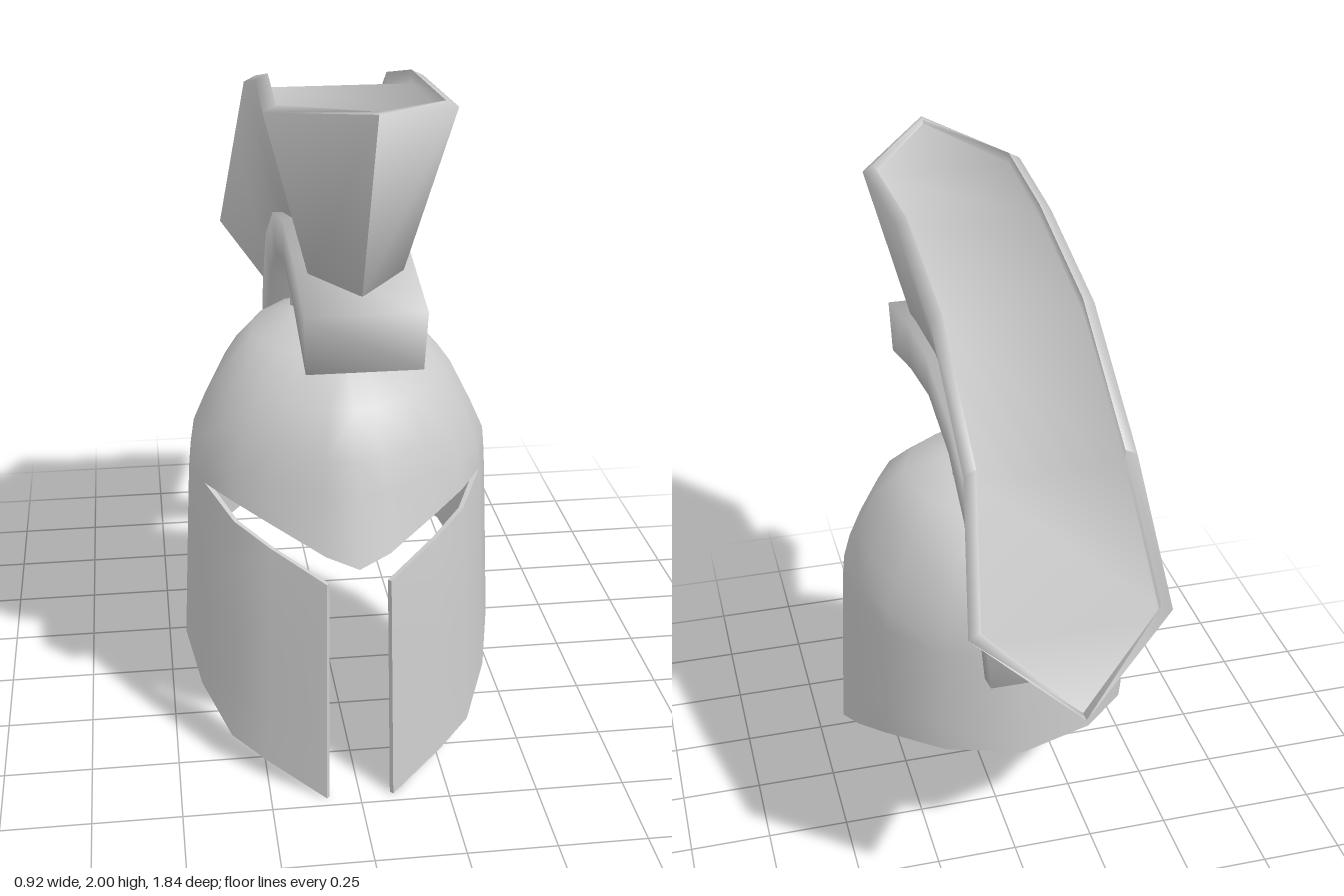
import * as THREE from 'three';
import { mergeVertices, toCreasedNormals } from 'three/addons/utils/BufferGeometryUtils.js';

const { lerp } = THREE.MathUtils;

// Helmet levels: height, half width, centre z, front z, back z
const LEVELS = [
  [0, 0.47, 0.2, 0.745, -0.34],
  [0.655, 0.44, 0.2, 0.69, -0.34],
  [0.815, 0.432, 0.2, 0.64, -0.337],
  [0.89, 0.425, 0.2, 0.617, -0.333],
  [0.98, 0.385, 0.2, 0.59, -0.32],
  [1.10, 0.325, 0.19, 0.53, -0.26],
  [1.195, 0.24, 0.16, 0.39, -0.15],
  [1.235, 0.13, 0.14, 0.27, -0.03],
  [1.25, 0, 0.14, 0.14, 0.14],
];
// Half-ring columns, back to front: unit x, unit z, rim y, eye slit lower y, eye slit upper y
const EYE = 0.815;
const COLUMNS = [
  [0, -1, 0.47, EYE, EYE],
  [0.5, -0.87, 0.47, EYE, EYE],
  [0.83, -0.57, 0.435, EYE, EYE],
  [0.96, -0.28, 0.36, EYE, EYE],
  [1, 0.03, 0.27, EYE, EYE],
  [0.91, 0.3, 0.175, EYE, EYE],
  [0.74, 0.58, 0.09, 0.758, 0.813],
  [0.53, 0.745, 0.055, 0.715, 0.782],
  [0.2, 0.955, 0, 0.655, 0.728],
  [0, 1, 0, 0, 0.70],
];

function helmetPoint(k, y) {
  let i = 0;
  while (i < LEVELS.length - 2 && y > LEVELS[i + 1][0]) i++;
  const lo = LEVELS[i], hi = LEVELS[i + 1];
  const t = (y - lo[0]) / (hi[0] - lo[0]);
  const [, w, c, f, b] = lo.map((v, n) => lerp(v, hi[n], t));
  const [ux, uz] = COLUMNS[k];
  return [w * ux, y, c + uz * (uz > 0 ? f - c : c - b)];
}

function fromTriangles(points, index) {
  const geo = new THREE.BufferGeometry();
  geo.setAttribute('position', new THREE.Float32BufferAttribute(points.flat(), 3));
  if (index) geo.setIndex(index);
  return geo;
}

// Give an open sheet of triangles an inner skin and closed edges
function thicken(points, thickness) {
  const geo = mergeVertices(fromTriangles(points), 1e-4);
  const idx = Array.from(geo.index.array), tris = [];
  for (let i = 0; i < idx.length; i += 3) {
    const t = idx.slice(i, i + 3);
    if (new Set(t).size === 3) tris.push(t);
  }
  geo.setIndex(tris.flat());
  geo.computeVertexNormals();
  const pos = geo.attributes.position, nor = geo.attributes.normal, n = pos.count;
  const outer = [], inner = [];
  for (let i = 0; i < n; i++) {
    const p = new THREE.Vector3().fromBufferAttribute(pos, i);
    const q = new THREE.Vector3().fromBufferAttribute(nor, i);
    outer.push(p.toArray());
    inner.push(p.addScaledVector(q, -thickness).toArray());
  }
  const edges = new Set();
  for (const t of tris) t.forEach((a, j) => edges.add(a + '_' + t[(j + 1) % 3]));
  const faces = [];
  for (const t of tris) {
    const [a, b, c] = t;
    faces.push(a, b, c, a + n, c + n, b + n);
    t.forEach((p, j) => {
      const q = t[(j + 1) % 3];
      if (!edges.has(q + '_' + p)) faces.push(q, p, p + n, q, p + n, q + n);
    });
  }
  return toCreasedNormals(fromTriangles([...outer, ...inner], faces), 0.9);
}

function helmetShell() {
  const tris = [];
  const flip = ([x, y, z]) => [-x, y, z];
  const panel = (columns, rows, yAt) => {
    for (let k = 0; k < columns; k++) {
      for (let r = 0; r < rows; r++) {
        const a = helmetPoint(k, yAt(k, r)), b = helmetPoint(k + 1, yAt(k + 1, r));
        const c = helmetPoint(k + 1, yAt(k + 1, r + 1)), d = helmetPoint(k, yAt(k, r + 1));
        tris.push(a, d, c, a, c, b);
        const [e, f, g, h] = [a, b, c, d].map(flip);
        tris.push(e, g, h, e, f, g);
      }
    }
  };
  // Neck guard and cheeks, up to the eye slit
  panel(8, 4, (k, r) => lerp(COLUMNS[k][2], COLUMNS[k][3], r / 4));
  // Brow and dome
  panel(9, 6, (k, r) => (r === 0 ? COLUMNS[k][4] : LEVELS[r + 2][0]));
  return thicken(tris, 0.014);
}

// Skin cross-sections that run front to back, each counter-clockwise seen from the front
function loft(sections, crease) {
  const n = sections[0].length, last = (sections.length - 1) * n, faces = [];
  for (let s = 0; s < last; s += n) {
    for (let j = 0; j < n; j++) {
      const a = s + j, b = s + (j + 1) % n;
      faces.push(a, a + n, b + n, a, b + n, b);
    }
  }
  for (let j = 1; j < n - 1; j++) faces.push(0, j, j + 1, last, last + j + 1, last + j);
  return toCreasedNormals(fromTriangles(sections.flat(), faces), crease);
}

const mirrored = (half) => [...half, ...half.map(([x, y, z]) => [-x, y, z]).reverse()];

// Curved holder, softly shaded: upper z, y, lower z, y
function holderGeometry() {
  const rail = [
    [0.76, 1.46, 0.74, 1.30], [0.48, 1.525, 0.46, 1.375], [0.21, 1.545, 0.20, 1.415],
    [-0.08, 1.475, -0.05, 1.36], [-0.33, 1.33, -0.23, 1.24], [-0.46, 1.13, -0.36, 1.06],
    [-0.55, 0.9, -0.46, 0.865],
  ];
  return loft(rail.map(([zt, yt, zb, yb]) => mirrored([[0.15, yb, zb], [0.155, yt, zt]])), 1.9);
}

// Plume with a raised rim: top z, y, half width, bottom z, y, half width, depth of the sunk top
function plumeGeometry() {
  const stations = [
    [0.92, 2.0, 0, 0.68, 1.48, 0, 0.012],
    [0.64, 1.945, 0.24, 0.56, 1.49, 0.12, 0.015],
    [0.24, 1.935, 0.224, 0.2, 1.52, 0.12, 0.02],
    [-0.18, 1.838, 0.224, -0.08, 1.45, 0.12, 0.02],
    [-0.56, 1.588, 0.228, -0.32, 1.3, 0.12, 0.02],
    [-0.77, 1.24, 0.27, -0.44, 1.1, 0.12, 0.015],
    [-0.915, 1.045, 0, -0.53, 0.97, 0, 0.012],
  ];
  return loft(stations.map(([z, y, w, zb, yb, wb, depth]) => {
    const tip = w === 0;
    const wi = tip ? 0 : w - 0.033;
    const zi = tip ? z - 0.03 * Math.sign(z) : z;
    const rise = tip ? 0 : 0.017;
    return mirrored([[wb, yb, zb], [w, y, z], [wi, y + rise, zi], [wi, y - depth, zi]]);
  }), 1.9);
}

export function createModel() {
  const metal = new THREE.MeshStandardMaterial({ color: 0xcccccc });
  metal.name = 'pale grey';
  const group = new THREE.Group();
  group.name = 'crestedHelmet';
  const add = (name, geometry) => {
    const mesh = new THREE.Mesh(geometry, metal);
    mesh.name = name;
    group.add(mesh);
    return mesh;
  };

  add('helmetShell', helmetShell());
  add('crestHolder', holderGeometry());
  add('crestPlume', plumeGeometry());

  // Post that joins the holder to the dome
  const post = add('crestPost', new THREE.CylinderGeometry(0.118, 0.118, 0.21, 12));
  post.position.set(0, 1.315, 0.025);
  post.rotation.x = -0.21;
  return group;
}
